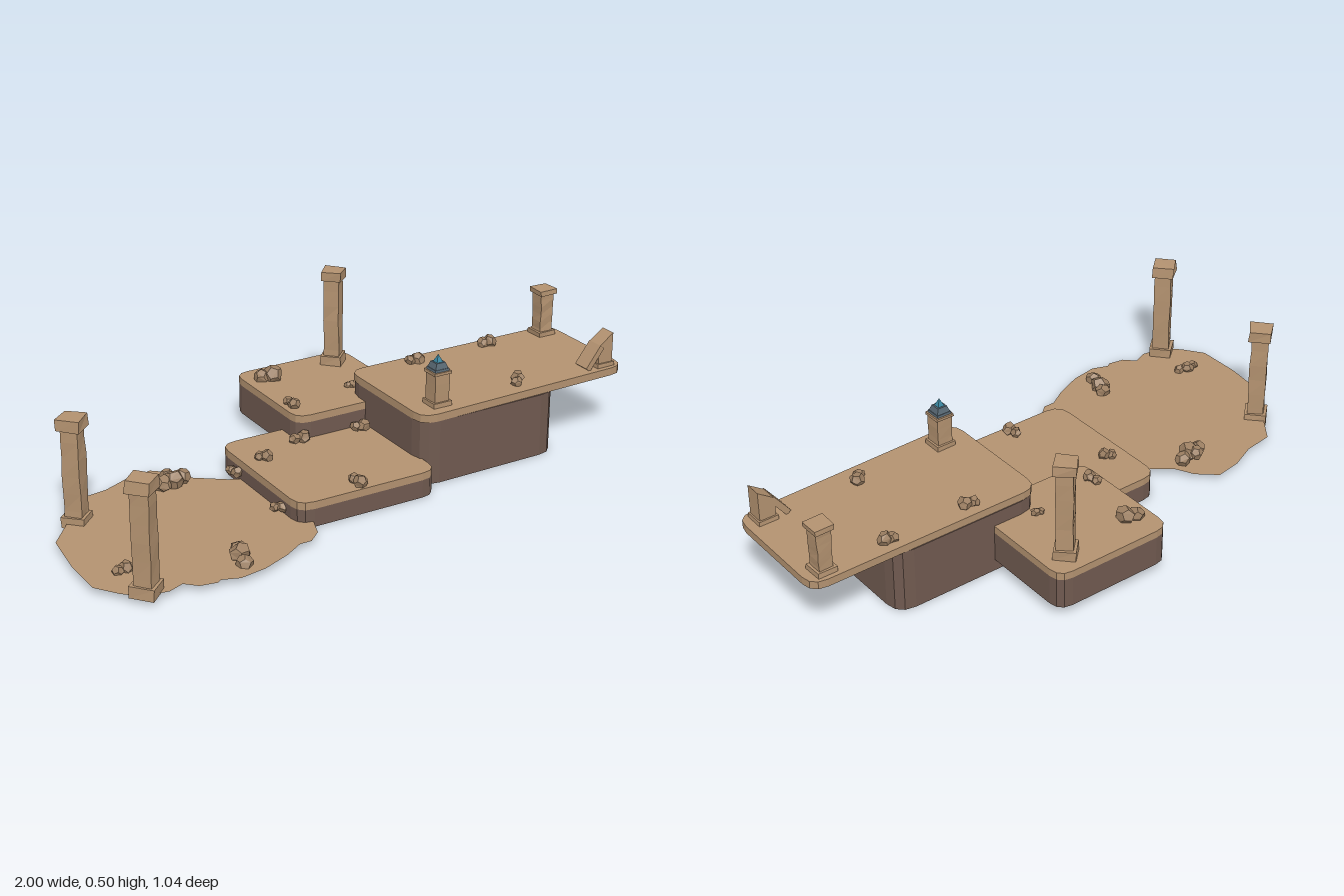
import * as THREE from 'three';

const mat = (color) => new THREE.MeshStandardMaterial({ color, flatShading: true, roughness: 0.9 });
const SAND = mat(0xb39270), CLIFF = mat(0x705a50), ROCK = mat(0x9c7f62);
const SLATE = mat(0x586873), TEAL = mat(0x3a86a0);
const GROUND = mat(0xb39270);
GROUND.side = THREE.DoubleSide;

let seed = 7;
const rnd = () => (seed = (seed * 16807) % 2147483647) / 2147483647;
const jitter = (a) => (rnd() - 0.5) * 2 * a;

// Moves coincident vertices together so the faceted surface stays closed
function roughen(geo, move) {
  const p = geo.attributes.position, seen = new Map(), v = new THREE.Vector3();
  for (let i = 0; i < p.count; i++) {
    v.fromBufferAttribute(p, i);
    const key = [v.x, v.y, v.z].map((n) => Math.round(n * 1e4)).join();
    if (!seen.has(key)) seen.set(key, move(v.clone()));
    const q = seen.get(key);
    p.setXYZ(i, q.x, q.y, q.z);
  }
  geo.computeVertexNormals();
  return geo;
}

function add(parent, geo, material, name, x = 0, y = 0, z = 0) {
  const mesh = new THREE.Mesh(geo, material);
  mesh.name = name;
  mesh.position.set(x, y, z);
  parent.add(mesh);
  return mesh;
}

// Horizontal slab with rounded corners; z1r is the front edge at the right end
function slab(x0, x1, z0, z1, y0, y1, r, z1r = z1) {
  const s = new THREE.Shape();
  s.moveTo(x0 + r, z0);
  s.lineTo(x1 - r, z0);
  s.quadraticCurveTo(x1, z0, x1, z0 + r);
  s.lineTo(x1, z1r - r);
  s.quadraticCurveTo(x1, z1r, x1 - r, z1r);
  s.lineTo(x0 + r, z1);
  s.quadraticCurveTo(x0, z1, x0, z1 - r);
  s.lineTo(x0, z0 + r);
  s.quadraticCurveTo(x0, z0, x0 + r, z0);
  const g = new THREE.ExtrudeGeometry(s, { depth: y1 - y0, bevelEnabled: false, curveSegments: 3 });
  return g.rotateX(Math.PI / 2).translate(0, y1, 0);
}

// Weathered square block standing on y = 0
function block(w, h, segs, wobble) {
  const g = new THREE.BoxGeometry(w, h, w, 1, segs, 1).translate(0, h / 2, 0);
  return roughen(g, (v) => v.add(new THREE.Vector3(jitter(wobble), jitter(wobble * 0.5), jitter(wobble))));
}

function pillar(parent, name, x, y, z, h, w, turn, collar, footH = collar) {
  const g = new THREE.Group();
  g.name = name;
  g.position.set(x, y, z);
  g.rotation.y = turn;
  add(g, block(w * 0.76, h - collar * 0.5, 6, 0.002), SAND, 'shaft');
  add(g, block(w, collar, 1, 0.003), SAND, 'capital', 0, h - collar, 0);
  if (footH) add(g, block(w, footH, 1, 0.002), SAND, 'foot');
  parent.add(g);
  return g;
}

// Cluster of faceted stones laid along a direction
function rocks(parent, x, y, z, r, n, dir = 0) {
  const g = new THREE.Group();
  g.name = 'rockCluster';
  g.position.set(x, y, z);
  for (let i = 0; i < n; i++) {
    const t = (i - (n - 1) / 2) * r * 1.15, s = r * (1 - 0.18 * ((i + 1) % 2));
    const geo = roughen(new THREE.DodecahedronGeometry(s), (v) => v.multiplyScalar(1 + jitter(0.13)));
    const m = add(g, geo, ROCK, 'rock', Math.cos(dir) * t, s * 0.5, Math.sin(dir) * t + jitter(r * 0.3));
    m.rotation.set(jitter(1), jitter(3), jitter(1));
    m.scale.y = 0.9;
  }
  parent.add(g);
}

export function createModel() {
  seed = 7;
  const model = new THREE.Group();
  model.name = 'desertRuins';

  // Ragged sand patch
  const edge = [[-1, 0.2], [-0.98, 0.04], [-0.89, -0.07], [-0.8, -0.195], [-0.7, -0.21], [-0.61, -0.25],
    [-0.52, -0.265], [-0.457, -0.21], [-0.425, -0.147], [-0.335, -0.08], [-0.27, -0.05], [-0.25, 0.1],
    [-0.24, 0.22], [-0.25, 0.31], [-0.275, 0.38], [-0.32, 0.42], [-0.36, 0.42], [-0.425, 0.46], [-0.52, 0.5],
    [-0.61, 0.515], [-0.665, 0.495], [-0.68, 0.505], [-0.735, 0.495], [-0.77, 0.46], [-0.82, 0.48],
    [-0.9, 0.47], [-0.95, 0.42], [-1, 0.35]];
  const patch = new THREE.ShapeGeometry(new THREE.Shape(edge.map(([x, z]) => new THREE.Vector2(x, -z))));
  add(model, patch.rotateX(-Math.PI / 2), GROUND, 'sandPatch', 0, 0.036, 0);

  // Stepped platforms: dark cliff below, sandy top above
  add(model, slab(-0.3, 0.2, -0.2, 0.313, 0.017, 0.077, 0.055), CLIFF, 'lowCliff');
  add(model, slab(-0.3, 0.2, -0.2, 0.313, 0.077, 0.102, 0.055), SAND, 'lowTop');
  add(model, slab(-0.07, 0.355, -0.525, -0.098, 0.055, 0.157, 0.05), CLIFF, 'backCliff');
  add(model, slab(-0.07, 0.355, -0.525, -0.098, 0.157, 0.182, 0.05), SAND, 'backTop');
  add(model, slab(0.187, 0.715, -0.203, 0.246, 0.015, 0.23, 0.065, 0.24), CLIFF, 'highCliff');
  add(model, slab(0.185, 1, -0.2, 0.247, 0.23, 0.256, 0.055, 0.225), SAND, 'highTop');

  // Standing pillars
  pillar(model, 'frontPillar', -0.88, 0.03, 0.452, 0.367, 0.076, 0.72, 0.037);
  pillar(model, 'sidePillar', -0.863, 0.02, -0.066, 0.36, 0.074, 0.75, 0.037);
  pillar(model, 'backPillar', 0.272, 0.182, -0.447, 0.336, 0.07, 0.78, 0.033);
  pillar(model, 'cornerPillar', 0.935, 0.256, -0.15, 0.166, 0.066, 0, 0.017);

  // Broken pillar with a sheared top and its fallen slab
  const stump = new THREE.Group();
  stump.name = 'brokenPillar';
  stump.position.set(0.935, 0.256, 0.175);
  const shear = roughen(new THREE.BoxGeometry(0.056, 0.1, 0.056).translate(0, 0.05, 0),
    (v) => (v.y > 0.05 ? v.setY(0.095 + v.x * 0.7) : v));
  add(stump, shear, SAND, 'stump');
  add(stump, block(0.068, 0.014, 1, 0.001), SAND, 'foot');
  const fallen = add(stump, new THREE.BoxGeometry(0.02, 0.09, 0.06), SAND, 'fallenSlab', -0.045, 0.038, 0.002);
  fallen.rotation.z = -0.65;
  model.add(stump);

  // Small shrine with a slate roof and a teal spire
  const shrine = new THREE.Group();
  shrine.name = 'shrine';
  shrine.position.set(0.285, 0.256, 0.176);
  add(shrine, block(0.068, 0.016, 1, 0.001), SAND, 'foot');
  add(shrine, block(0.054, 0.115, 3, 0.001), SAND, 'shaft');
  add(shrine, block(0.064, 0.01, 1, 0.001), SAND, 'collar', 0, 0.108, 0);
  const pyramid = (top, bottom, h) => new THREE.CylinderGeometry(top, bottom, h, 4).rotateY(Math.PI / 4);
  add(shrine, pyramid(0.036, 0.038, 0.008), SLATE, 'eaves', 0, 0.122, 0);
  add(shrine, pyramid(0.024, 0.034, 0.02), SLATE, 'roof', 0, 0.135, 0);
  add(shrine, pyramid(0, 0.017, 0.026), TEAL, 'spire', 0, 0.157, 0);
  model.add(shrine);

  // Scattered stones: x, y, z, radius, count, direction
  [[-0.505, 0.04, -0.13, 0.036, 3, -0.3], [-0.55, 0.03, 0.405, 0.034, 3, 1.9], [-0.515, 0.055, -0.145, 0.03, 1],
    [-0.872, 0.032, 0.305, 0.024, 3, 0.1], [-0.312, 0.05, -0.08, 0.021, 2, 1.2], [-0.31, 0.045, 0.205, 0.021, 2, 0.5],
    [-0.233, 0.102, -0.028, 0.022, 2, 0.6], [-0.068, 0.102, -0.085, 0.025, 2, 0.1], [-0.07, 0.102, 0.265, 0.025, 2, 1.4],
    [0.15, 0.102, -0.07, 0.025, 2, 0.6], [0.003, 0.182, -0.43, 0.033, 2, 0.4], [-0.035, 0.182, -0.195, 0.022, 2, 1.4],
    [0.21, 0.182, -0.23, 0.016, 2, 0.5], [0.41, 0.256, -0.155, 0.025, 2, 0.1], [0.705, 0.256, -0.15, 0.025, 2, 0.3],
    [0.602, 0.256, 0.168, 0.025, 2, -0.8]].forEach((a) => rocks(model, ...a));

  return model;
}
